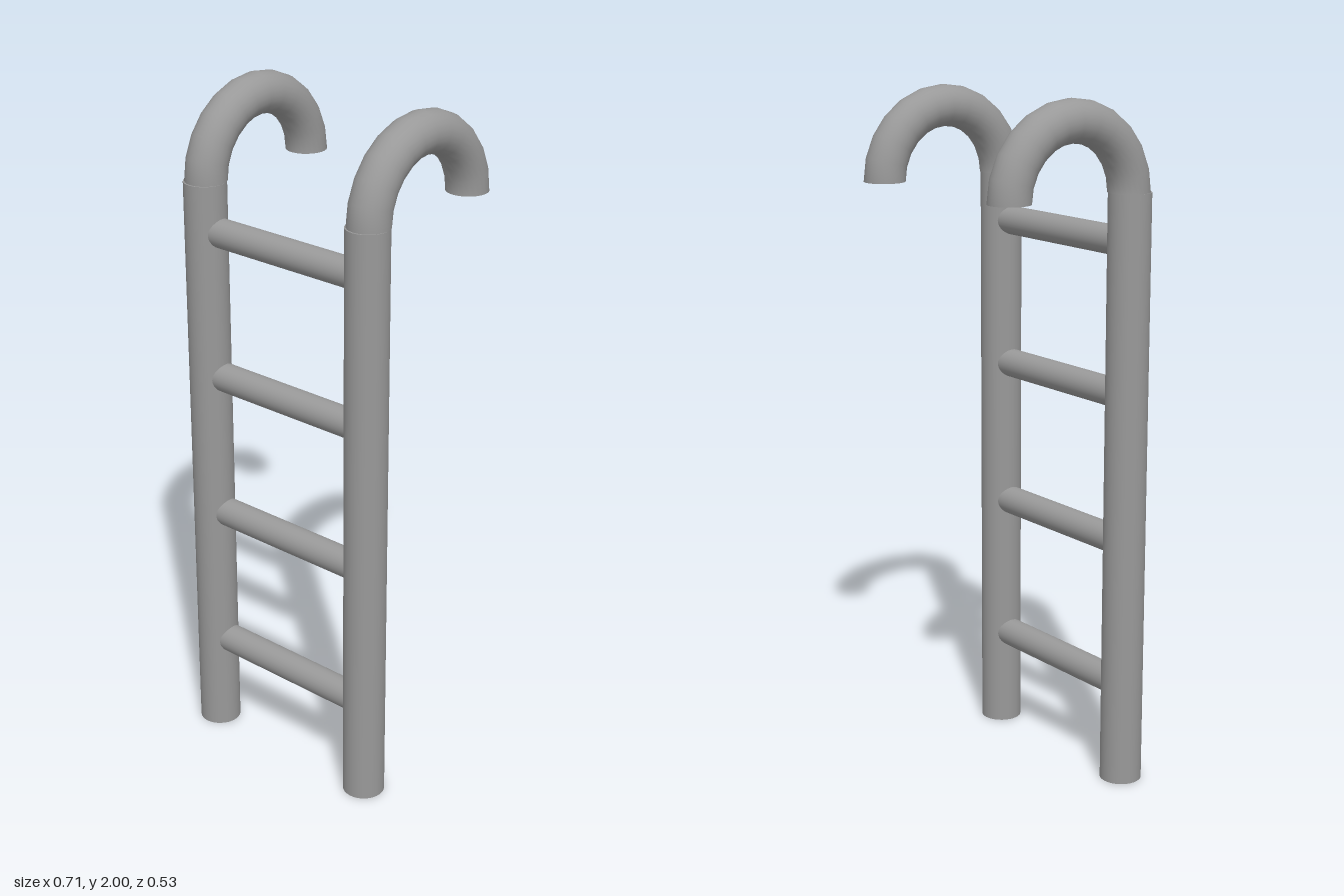
import * as THREE from 'three';

const RAIL_X = 0.295;
const RAIL_Z = 0.209;
const RAIL_TOP = 1.735;
const RAIL_RADIUS = 0.061;
const HOOK_RADIUS = 0.06;
const HOOK_BEND = 0.205;

export function createModel() {
  const ladder = new THREE.Group();
  ladder.name = 'ladder';

  const steel = new THREE.MeshStandardMaterial({ color: 0x999999 });
  steel.name = 'grey steel';

  const add = (name, geometry, x, y, z) => {
    const mesh = new THREE.Mesh(geometry, steel);
    mesh.name = name;
    mesh.position.set(x, y, z);
    ladder.add(mesh);
  };

  // Upright rail, half-circle hook bending to the back, and the hook's end cap
  const rail = new THREE.CylinderGeometry(RAIL_RADIUS, RAIL_RADIUS, RAIL_TOP, 32);
  const hook = new THREE.TorusGeometry(HOOK_BEND, HOOK_RADIUS, 24, 12, Math.PI).rotateY(-Math.PI / 2);
  const hookCap = new THREE.CircleGeometry(HOOK_RADIUS, 24).rotateX(Math.PI / 2);

  for (const [side, sign] of [['left', 1], ['right', -1]]) {
    const x = sign * RAIL_X;
    add(`${side}Rail`, rail, x, RAIL_TOP / 2, RAIL_Z);
    add(`${side}Hook`, hook, x, RAIL_TOP, 0);
    add(`${side}HookCap`, hookCap, x, RAIL_TOP, -HOOK_BEND);
  }

  // Four evenly spaced rungs, ending inside the rails
  const rung = new THREE.CylinderGeometry(0.042, 0.042, RAIL_X * 2, 32).rotateZ(Math.PI / 2);
  for (let i = 0; i < 4; i++) {
    add(`rung${i + 1}`, rung, 0, 0.293 + i * 0.434, RAIL_Z - 0.002);
  }

  return ladder;
}
